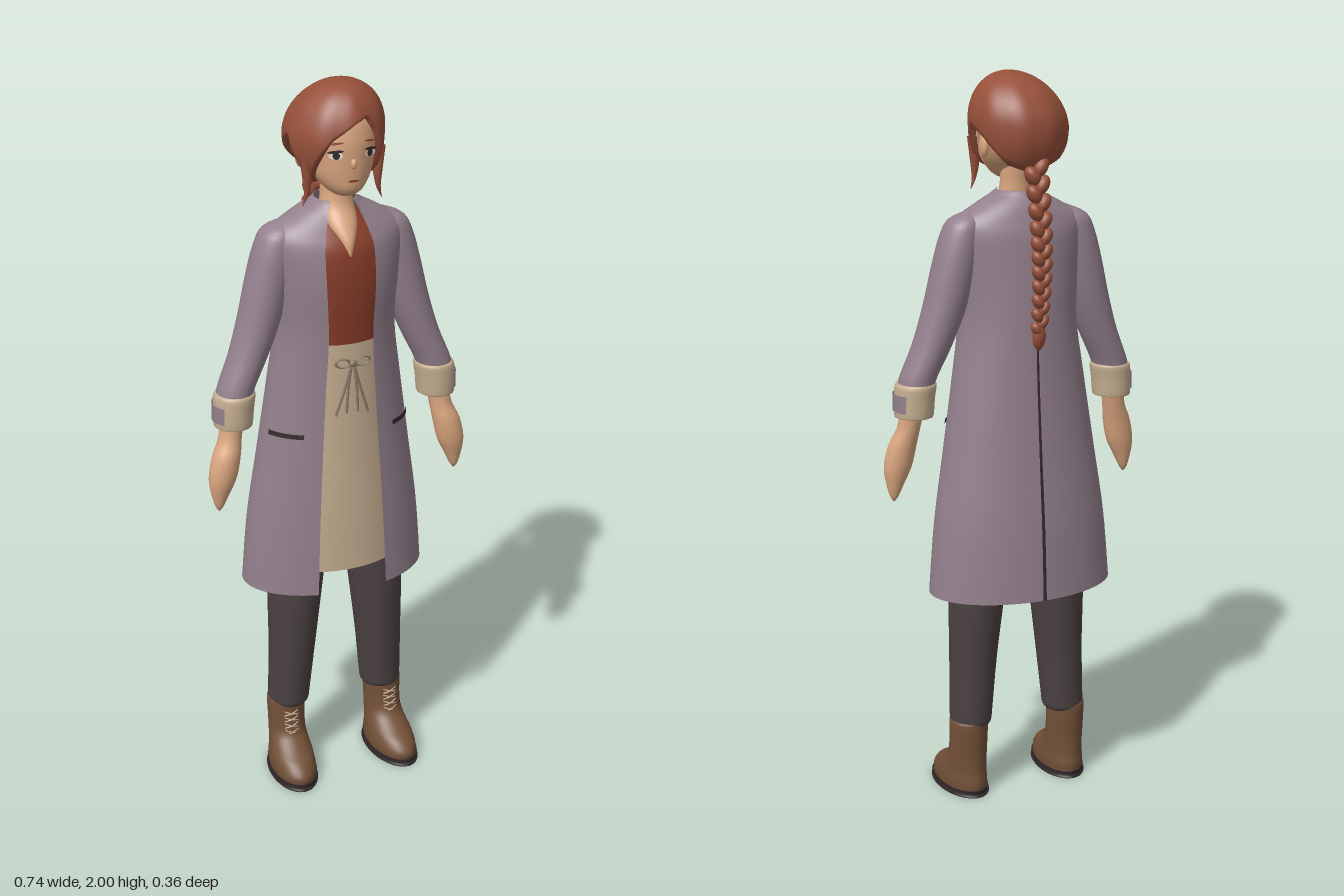
import * as THREE from 'three';

const paint = (name, color, open) => {
  const m = new THREE.MeshStandardMaterial({ color, side: open ? THREE.DoubleSide : THREE.FrontSide });
  m.name = name;
  return m;
};

// Smooth surface from fn(u, v); u may close on itself
function grid(fn, nu, nv, closed) {
  const pos = [], index = [], cols = closed ? nu : nu + 1;
  for (let j = 0; j <= nv; j++)
    for (let i = 0; i < cols; i++) pos.push(...fn(i / nu, j / nv));
  for (let j = 0; j < nv; j++)
    for (let i = 0; i < nu; i++) {
      const a = j * cols + i, b = j * cols + (i + 1) % cols;
      index.push(a, b, a + cols, b, b + cols, a + cols);
    }
  const g = new THREE.BufferGeometry();
  g.setAttribute('position', new THREE.Float32BufferAttribute(pos, 3));
  g.setIndex(index);
  g.computeVertexNormals();
  return g;
}

// Spline through rows of numbers, t from 0 to 1
function sample(rows, t) {
  const n = rows.length - 1, i = Math.min(Math.floor(t * n), n - 1), f = t * n - i;
  const at = k => rows[THREE.MathUtils.clamp(k, 0, n)];
  const [p, a, b, q] = [at(i - 1), at(i), at(i + 1), at(i + 2)];
  return a.map((_, k) => {
    const m0 = (b[k] - p[k]) / 2, m1 = (q[k] - a[k]) / 2, d = b[k] - a[k];
    return a[k] + f * (m0 + f * (3 * d - 2 * m0 - m1 + f * (m0 + m1 - 2 * d)));
  });
}

// Level elliptical rings, bottom to top: [x, y, z, rx, rz, startAngle, endAngle]; angle 0 is front
function loft(rows, nu = 32, per = 4) {
  const open = rows[0].length > 5;
  return grid((u, v) => {
    const [x, y, z, rx, rz, a0 = 0, a1 = Math.PI * 2] = sample(rows, v);
    const a = a0 + (a1 - a0) * u;
    return [x + Math.max(rx, 5e-4) * Math.sin(a), y, z + Math.max(rz, 5e-4) * Math.cos(a)];
  }, nu, (rows.length - 1) * per, !open);
}

export function createModel() {
  const skin = paint('skin', 0xdaa67f), hairMat = paint('auburn hair', 0x96503a, true);
  const rust = paint('rust shirt', 0x873d29), lilac = paint('lilac coat', 0x93808c, true);
  const cream = paint('cream linen', 0xc4ad90, true), trouser = paint('dark trousers', 0x4b4142);
  const leather = paint('brown leather', 0x735138), dark = paint('dark trim', 0x33292b, true);
  const white = paint('eye white', 0xe8e0d8, true), cord = paint('cord', 0x8d7d68);

  const model = new THREE.Group();
  model.name = 'womanInCoat';
  const add = (name, geo, mat, parent = model) => {
    const m = new THREE.Mesh(geo, mat);
    m.name = name;
    parent.add(m);
    return m;
  };
  const ball = (name, mat, p, s, parent) => {
    const m = add(name, new THREE.SphereGeometry(1, 18, 12), mat, parent);
    m.position.set(...p);
    m.scale.set(...s);
    return m;
  };
  const rod = (name, mat, pts, r, parent) => add(name, new THREE.TubeGeometry(
    new THREE.CatmullRomCurve3(pts.map(p => new THREE.Vector3(...p))), 14, r, 6), mat, parent);

  // Head, neck and chest
  add('head', loft([[0, 1.716, .075, .001, .001], [0, 1.722, .072, .025, .03], [0, 1.74, .063, .05, .063],
    [0, 1.775, .045, .076, .087], [0, 1.82, .03, .09, .104], [0, 1.87, .02, .1, .112],
    [0, 1.93, .01, .088, .1], [0, 1.97, .01, .03, .03]]), skin);
  add('neck', loft([[0, 1.56, .112, .003, .006], [0, 1.6, .085, .022, .03], [0, 1.64, .05, .042, .043],
    [0, 1.68, .022, .044, .044], [0, 1.72, .016, .04, .042], [0, 1.78, .01, .04, .045]]), skin);
  ball('nose', skin, [0, 1.812, .131], [.008, .014, .011]);

  // Facial features: thin plates on the face
  const plate = (name, mat, x, y, z, w, h, tilt = 0) => {
    const m = add(name, new THREE.CircleGeometry(1, 20), mat);
    m.position.set(x, y, z);
    m.scale.set(w, h, 1);
    m.rotation.set(0, x * 9, tilt, 'YXZ');
  };
  for (const s of [-1, 1]) {
    plate('eyeWhite', white, s * .046, 1.836, .128, .018, .010);
    plate('iris', dark, s * .045, 1.836, .1295, .009, .0095);
    plate('lash', dark, s * .047, 1.846, .1285, .021, .0035, -s * .1);
    plate('brow', hairMat, s * .046, 1.866, .1275, .02, .0028, -s * .12);
    ball('ear', skin, [s * .094, 1.812, .005], [.011, .03, .019]);
  }
  plate('mouth', rust, 0, 1.768, .1325, .014, .003);

  // Hair cap: ellipsoid cut along a swept hairline, [degrees, height]
  const line = [[0, 1.905], [18, 1.92], [32, 1.88], [48, 1.8], [58, 1.75], [68, 1.78], [85, 1.86], [110, 1.83],
    [135, 1.77], [180, 1.745], [225, 1.77], [250, 1.83], [275, 1.86], [292, 1.78], [302, 1.75], [315, 1.8],
    [335, 1.865], [360, 1.905]];
  const hairline = deg => {
    const k = Math.max(1, line.findIndex(p => p[0] >= deg)), [a, b] = [line[k - 1], line[k]];
    return THREE.MathUtils.mapLinear(deg, a[0], b[0], a[1], b[1]);
  };
  const hair = new THREE.Group();
  hair.name = 'hair';
  model.add(hair);
  add('hairCap', grid((u, v) => {
    const a = u * Math.PI * 2, low = Math.acos((hairline(u * 360) - 1.86) / .14);
    const th = low * (1 - v), c = Math.cos(th), up = Math.max(c, 0);
    const r = Math.pow(Math.sin(th), c < 0 ? .7 : 1) * (v === 0 ? .87 : 1) * (1 + .01 * Math.cos(a * 9));
    return [.128 * r * Math.sin(a) + .015 * up, 1.86 + .14 * c, .141 * r * Math.cos(a) + .022 * up * up];
  }, 90, 22, true), hairMat, hair);
  for (const s of [-1, 1])
    add('sideLock', loft([[s * .108, 1.695, .06, .001, .001], [s * .098, 1.725, .062, .006, .007],
      [s * .096, 1.77, .062, .012, .014], [s * .104, 1.83, .06, .012, .018]], 10), hairMat, hair);

  // Braid: paired plaits down a curve, ending in a tuft
  const spine = new THREE.CatmullRomCurve3([[1.765, -.112], [1.61, -.143], [1.48, -.15], [1.35, -.136]]
    .map(([y, z]) => new THREE.Vector3(0, y, z)));
  for (let i = 0; i < 22; i++) {
    const t = i / 21, s = i % 2 ? 1 : -1, w = 1 - .3 * t, p = spine.getPoint(t);
    const m = ball('plait', hairMat, [s * .012 * w, p.y, p.z], [.019 * w, .029 * w, .023 * w], hair);
    m.rotation.z = -s * .55;
  }
  add('braidTuft', loft([[0, 1.288, -.13, .001, .001], [0, 1.305, -.131, .013, .012], [0, 1.33, -.134, .018, .017],
    [0, 1.36, -.137, .011, .011]], 14), hairMat, hair);

  // Shirt
  add('shirt', loft([[0, 1.2, .002, .14, .105], [0, 1.35, .006, .14, .112], [0, 1.47, .012, .15, .113],
    [0, 1.56, .012, .15, .107], [0, 1.605, .01, .14, .092], [0, 1.64, .005, .1, .066], [0, 1.665, .005, .05, .04]]), rust);

  // Open coat: [height, centre z, half width, half depth, half opening]
  const coat = [[.61, -.012, .262, .165, .1], [.8, -.01, .245, .156, .093], [1, -.005, .215, .142, .082],
    [1.2, 0, .185, .13, .07], [1.35, .005, .165, .126, .062], [1.48, .011, .172, .123, .067],
    [1.58, .009, .183, .111, .067], [1.625, .006, .172, .095, .058], [1.66, .004, .12, .08, .048],
    [1.685, .006, .072, .067, .045]];
  const coatRow = (grow, arc) => ([y, z, rx, rz, w]) => [0, y, z, rx + grow, rz + grow, ...arc(Math.asin(w / rx))];
  add('coatBody', loft(coat.map(coatRow(0, a => [a, Math.PI * 2 - a])), 56, 5), lilac);
  add('coatBackSeam', loft(coat.slice(0, 5).map(coatRow(.0015, () => [Math.PI - .018, Math.PI + .018])), 1, 5), dark);
  add('collar', loft([[0, 1.66, .006, .105, .079, .45, 5.83], [0, 1.692, .008, .06, .064, .6, 5.68],
    [0, 1.697, .008, .053, .056, .65, 5.63]], 32), lilac);
  for (const s of [-1, 1]) {
    const arc = [s > 0 ? .66 : -1.3, s > 0 ? 1.3 : -.66];
    add('pocketEdge', loft([[0, 1.071, -.003, .2085, .1415, ...arc], [0, 1.084, -.003, .2065, .1405, ...arc]], 10, 1), dark);
  }

  // Apron with waistband and tied bow
  add('apron', loft([[0, .67, 0, .2, .136, -.9, .9], [0, .85, 0, .185, .132, -.9, .9], [0, 1.1, 0, .16, .125, -.9, .9],
    [0, 1.33, .004, .145, .118, -.9, .9]], 20), cream);
  add('waistband', loft([[0, 1.296, .004, .149, .121, -.8, .8], [0, 1.33, .004, .147, .1205, -.8, .8]], 20, 1), cream);
  const bow = new THREE.Group();
  bow.name = 'apronBow';
  model.add(bow);
  for (const s of [-1, 1]) {
    const loop = add('bowLoop', new THREE.TorusGeometry(.02, .004, 6, 18), cord, bow);
    loop.position.set(s * .028, 1.283, .133);
    loop.scale.y = .6;
    loop.rotation.z = s * .15;
    rod('bowTail', cord, [[s * .004, 1.275, .134], [s * .022, 1.21, .133], [s * .046, 1.135, .129]], .0035, bow);
    rod('bowTail', cord, [[s * .004, 1.275, .134], [s * .012, 1.21, .133], [s * .016, 1.14, .131]], .0035, bow);
  }
  ball('bowKnot', cord, [0, 1.28, .134], [.01, .009, .008], bow);

  // Hips under the coat
  add('hips', loft([[0, .76, 0, .03, .06], [0, .82, 0, .15, .1], [0, 1, 0, .165, .105], [0, 1.25, 0, .135, .1]]), trouser);

  for (const s of [-1, 1]) {
    const side = s > 0 ? 'left' : 'right';
    const limb = (name, rows, mat, parent, nu) => add(side + name, loft(rows.map(([x, ...r]) => [s * x, ...r]), nu), mat, parent);

    // Arm
    limb('Sleeve', [[.29, 1.13, .02, .045, .048], [.286, 1.2, .018, .049, .053], [.243, 1.3, .011, .053, .056],
      [.208, 1.4, .006, .058, .06], [.182, 1.5, .003, .06, .062], [.163, 1.58, .002, .056, .06],
      [.15, 1.625, .001, .044, .05], [.13, 1.65, 0, .01, .01]], lilac);
    limb('Cuff', [[.293, 1.125, .02, .03, .034], [.293, 1.112, .02, .048, .052], [.293, 1.118, .02, .052, .057],
      [.291, 1.16, .02, .054, .058], [.287, 1.195, .019, .055, .058], [.285, 1.203, .019, .047, .05]], cream);
    const arc = [s * Math.PI / 2 - .8, s * Math.PI / 2 + .8];
    add(side + 'CuffPatch', loft([[s * .293, 1.128, .02, .0555, .0605, ...arc],
      [s * .29, 1.175, .02, .0575, .0615, ...arc]], 12, 1), lilac);
    limb('Hand', [[.346, .874, .042, .002, .003], [.345, .89, .042, .012, .014], [.341, .925, .042, .025, .024],
      [.333, .97, .042, .038, .034], [.32, 1.03, .038, .038, .037], [.305, 1.08, .028, .031, .033],
      [.294, 1.15, .02, .033, .035]], skin, model, 20);

    // Leg
    limb('TrouserLeg', [[.145, .2, .006, .045, .045], [.143, .212, .007, .057, .058], [.141, .25, .008, .06, .061],
      [.132, .4, .012, .066, .07], [.12, .6, .01, .077, .086], [.105, .8, .006, .085, .093], [.09, .95, 0, .075, .09]], trouser);

    // Boot, turned slightly outward
    const boot = new THREE.Group();
    boot.name = side + 'Boot';
    boot.position.x = s * .15;
    boot.rotation.y = s * .07;
    model.add(boot);
    add('bootUpper', loft([[0, .014, .061, .062, .114], [0, .035, .06, .063, .115], [0, .062, .05, .06, .1],
      [0, .085, .031, .056, .08], [0, .115, .013, .053, .061], [0, .16, .006, .053, .056], [0, .215, .004, .054, .056],
      [0, .222, .004, .046, .048]]), leather, boot);
    add('sole', loft([[0, 0, .062, .001, .001], [0, 0, .062, .064, .117], [0, 0, .062, .064, .117],
      [0, .016, .062, .065, .118], [0, .016, .062, .065, .118], [0, .018, .062, .05, .1]], 32, 2), dark, boot);
    for (let i = 0; i < 4; i++)
      for (const d of [-1, 1]) {
        const y = .125 + i * .02, z = .069 - Math.min(i, 2) * .003;
        rod('lace', cream, [[-d * .02, y - .007, z - .006], [0, y, z], [d * .02, y + .007, z - .007]], .0022, boot);
      }
  }
  return model;
}
